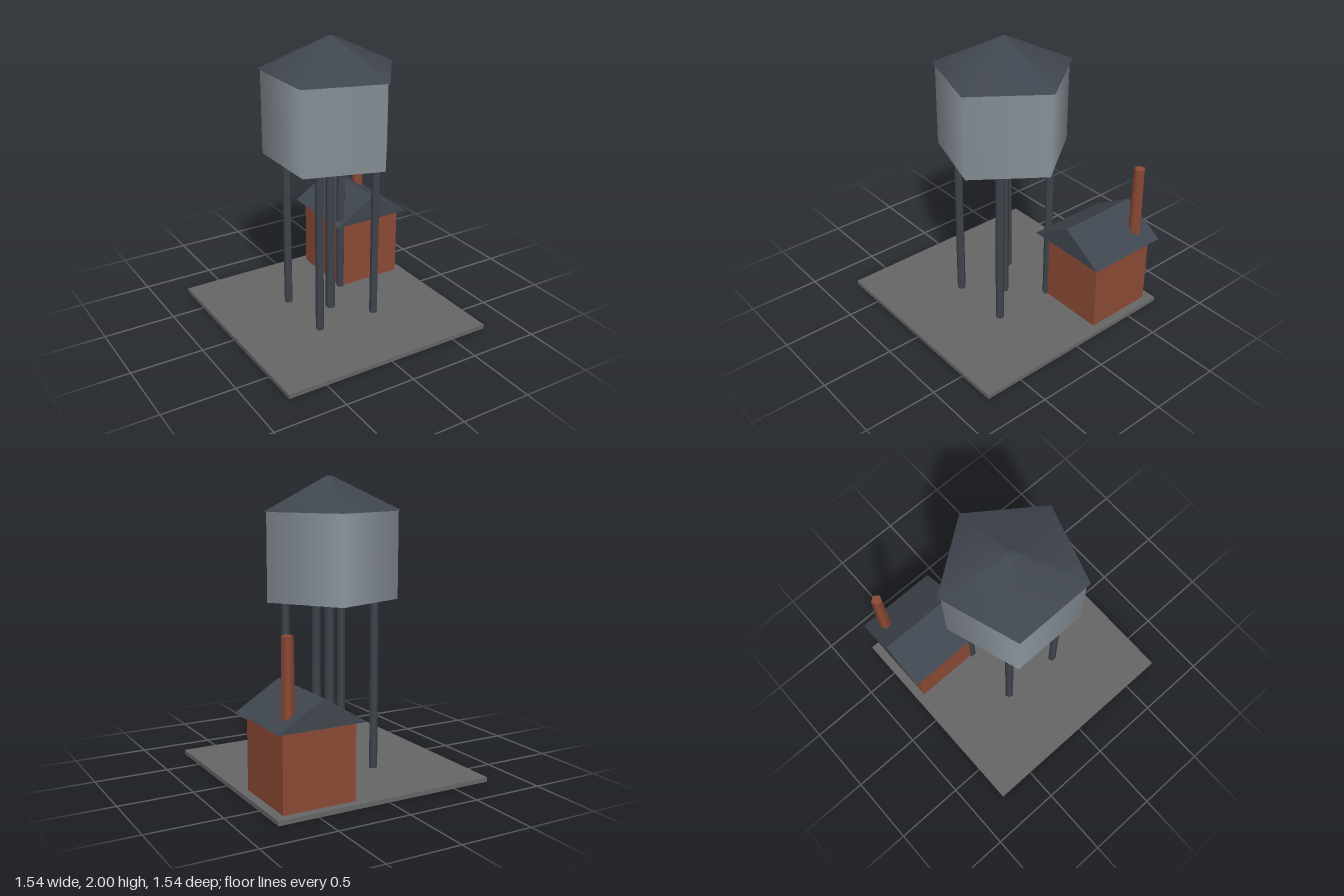
import * as THREE from 'three';

const mat = (name, color) => {
  const m = new THREE.MeshStandardMaterial({ color });
  m.name = name;
  return m;
};

export function createModel() {
  const slate = mat('slate', 0x40464f);
  const steel = mat('steel', 0x8b949b);
  const brick = mat('brick', 0x8c4a35);
  const concrete = mat('concrete', 0x666666);

  const model = new THREE.Group();
  model.name = 'waterTower';

  const add = (name, geometry, material, x = 0, y = 0, z = 0) => {
    const mesh = new THREE.Mesh(geometry, material);
    mesh.name = name;
    mesh.position.set(x, y, z);
    model.add(mesh);
    return mesh;
  };

  // Five-sided, smooth-shaded column with one corner pointing to +x
  const column = (name, material, rTop, rBottom, y0, y1, x = 0, z = 0) =>
    add(name, new THREE.CylinderGeometry(rTop, rBottom, y1 - y0, 5, 1, false, Math.PI / 2),
      material, x, (y0 + y1) / 2, z);

  // Ground slab
  add('base', new THREE.BoxGeometry(1.54, 0.03, 1.54), concrete, 0, 0.015, 0);

  // Tower: four corner legs, thicker centre pipe, tank and roof
  for (const x of [-0.22, 0.22]) {
    for (const z of [-0.22, 0.22]) column('leg', slate, 0.03, 0.03, 0.03, 1.2, x, z);
  }
  column('centrePipe', slate, 0.036, 0.036, 0.03, 1.2);
  column('tank', steel, 0.46, 0.46, 1.19, 1.775);
  column('tankRoof', slate, 0.02, 0.48, 1.775, 2.0);

  // Pump house
  add('houseWalls', new THREE.BoxGeometry(0.5, 0.51, 0.5), brick, 0.46, 0.285, -0.46);

  // Gable roof, ridge running front to back
  const gable = new THREE.Shape([
    new THREE.Vector2(-0.3, 0),
    new THREE.Vector2(0.3, 0),
    new THREE.Vector2(0, 0.185),
  ]);
  add('houseRoof', new THREE.ExtrudeGeometry(gable, { depth: 0.6, bevelEnabled: false }),
    slate, 0.46, 0.54, -0.76);

  // Tapered chimney
  column('chimney', brick, 0.039, 0.046, 0.55, 1.095, 0.64, -0.64);

  return model;
}
